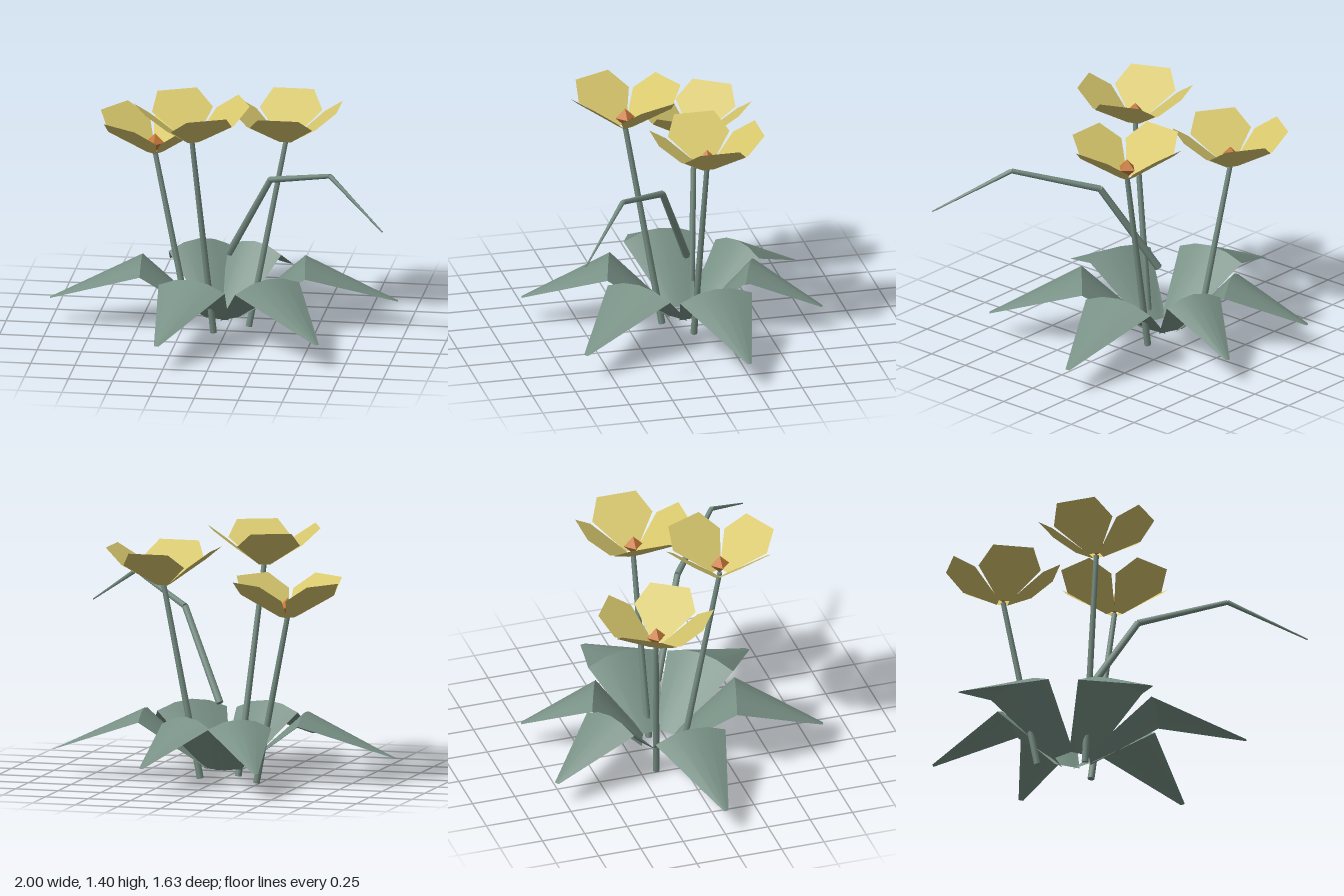
import * as THREE from 'three';

const foliage = new THREE.MeshStandardMaterial({ color: 0x78938a, side: THREE.DoubleSide });
foliage.color.set(0x789085);
foliage.name = 'foliage green';
const petalYellow = new THREE.MeshStandardMaterial({ color: 0xd6c66c, side: THREE.DoubleSide });
petalYellow.name = 'petal yellow';
const heartOrange = new THREE.MeshStandardMaterial({ color: 0xc87a3a });
heartOrange.name = 'heart orange';

function addMesh(parent, geometry, material, name) {
  const mesh = new THREE.Mesh(geometry, material);
  mesh.name = name;
  parent.add(mesh);
  return mesh;
}

// Six-sided tapered rod between two points
function addRod(parent, from, to, r0, r1, name) {
  const a = new THREE.Vector3(...from), b = new THREE.Vector3(...to);
  const dir = b.clone().sub(a);
  const rod = addMesh(parent, new THREE.CylinderGeometry(r1, r0, dir.length(), 6), foliage, name);
  rod.position.copy(a).add(b).multiplyScalar(0.5);
  rod.quaternion.setFromUnitVectors(new THREE.Vector3(0, 1, 0), dir.normalize());
}

// Leaf: rises from the base to an arched bend, then drops to a narrow tip
const HEART = { x: -0.03, z: -0.08 };
function leafGeometry(tipX, tipZ) {
  const length = Math.hypot(tipX - HEART.x, tipZ - HEART.z);
  const dx = (tipX - HEART.x) / length, dz = (tipZ - HEART.z) / length;
  const base = { r: 0.09, y: 0.07, half: 0.075, drop: 0 };
  const bend = { r: 0.47 * length, y: 0.4, half: 0.22 * length, drop: 0.055 };
  const tip = { r: length, y: 0.152, half: 0.014, drop: 0 };
  const positions = [], index = [], cols = 4;
  for (const strip of [[base, bend], [bend, tip]]) {
    const start = positions.length / 3;
    for (const row of strip) {
      for (let c = 0; c <= cols; c++) {
        const u = (c / cols) * 2 - 1, s = u * row.half;
        positions.push(HEART.x + dx * row.r + dz * s, row.y - row.drop * u * u, HEART.z + dz * row.r - dx * s);
      }
    }
    for (let c = 0; c < cols; c++) {
      const a = start + c, b = a + cols + 1;
      index.push(a, b, a + 1, a + 1, b, b + 1);
    }
  }
  const geometry = new THREE.BufferGeometry();
  geometry.setAttribute('position', new THREE.Float32BufferAttribute(positions, 3));
  geometry.setIndex(index);
  geometry.computeVertexNormals();
  return geometry;
}

// Petal: flat hexagon leaning outward from the flower's base
function petalGeometry() {
  const rise = 0.212, reach = 0.275, slope = Math.hypot(rise, reach);
  const half = [[0.033, 0], [0.178, 0.6 * slope], [0.115, slope]];
  const outline = [
    ...half.map(([s, t]) => new THREE.Vector2(s, t)),
    ...half.map(([s, t]) => new THREE.Vector2(-s, t)).reverse(),
  ];
  return new THREE.ShapeGeometry(new THREE.Shape(outline))
    .rotateX(-Math.atan2(reach, rise))
    .translate(0, 0, -0.03);
}

export function createModel() {
  const model = new THREE.Group();
  model.name = 'floweringPlant';

  // Ring of leaves, given by their tips
  const leaves = new THREE.Group();
  leaves.name = 'leaves';
  model.add(leaves);
  const tips = [[-1, 0.005], [-0.425, -0.81], [0.25, -0.8], [0.945, -0.21], [0.61, 0.655], [-0.28, 0.81]];
  for (const [x, z] of tips) addMesh(leaves, leafGeometry(x, z), foliage, 'leaf');

  // Flowers on their stems
  const petal = petalGeometry();
  const flowers = [
    { foot: [-0.235, 0.004, -0.16], top: [-0.437, 0.962, -0.227], turn: 33 },
    { foot: [-0.065, 0.004, 0.05], top: [-0.16, 1.188, 0.24], turn: 66 },
    { foot: [0.115, 0.004, -0.09], top: [0.322, 1.1, -0.115], turn: 0 },
  ];
  for (const { foot, top, turn } of flowers) {
    addRod(model, foot, top, 0.02, 0.015, 'stem');
    const flower = new THREE.Group();
    flower.name = 'flower';
    flower.position.set(...top);
    for (let i = 0; i < 4; i++) {
      const mesh = addMesh(flower, petal, petalYellow, 'petal');
      mesh.rotation.y = -THREE.MathUtils.degToRad(turn) + (i * Math.PI) / 2;
    }
    const heart = addMesh(flower, new THREE.OctahedronGeometry(0.055), heartOrange, 'flowerHeart');
    heart.position.y = 0.055;
    model.add(flower);
  }

  // Bare bent shoot
  const joints = [[0.005, 0.435, -0.075], [0.27, 0.945, 0.13], [0.655, 1.088, 0.455], [0.995, 0.868, 0.75]];
  const radii = [0.022, 0.019, 0.014, 0.004];
  for (let i = 0; i < 3; i++) {
    addRod(model, joints[i], joints[i + 1], radii[i], radii[i + 1], 'bentShoot');
  }

  return model;
}
